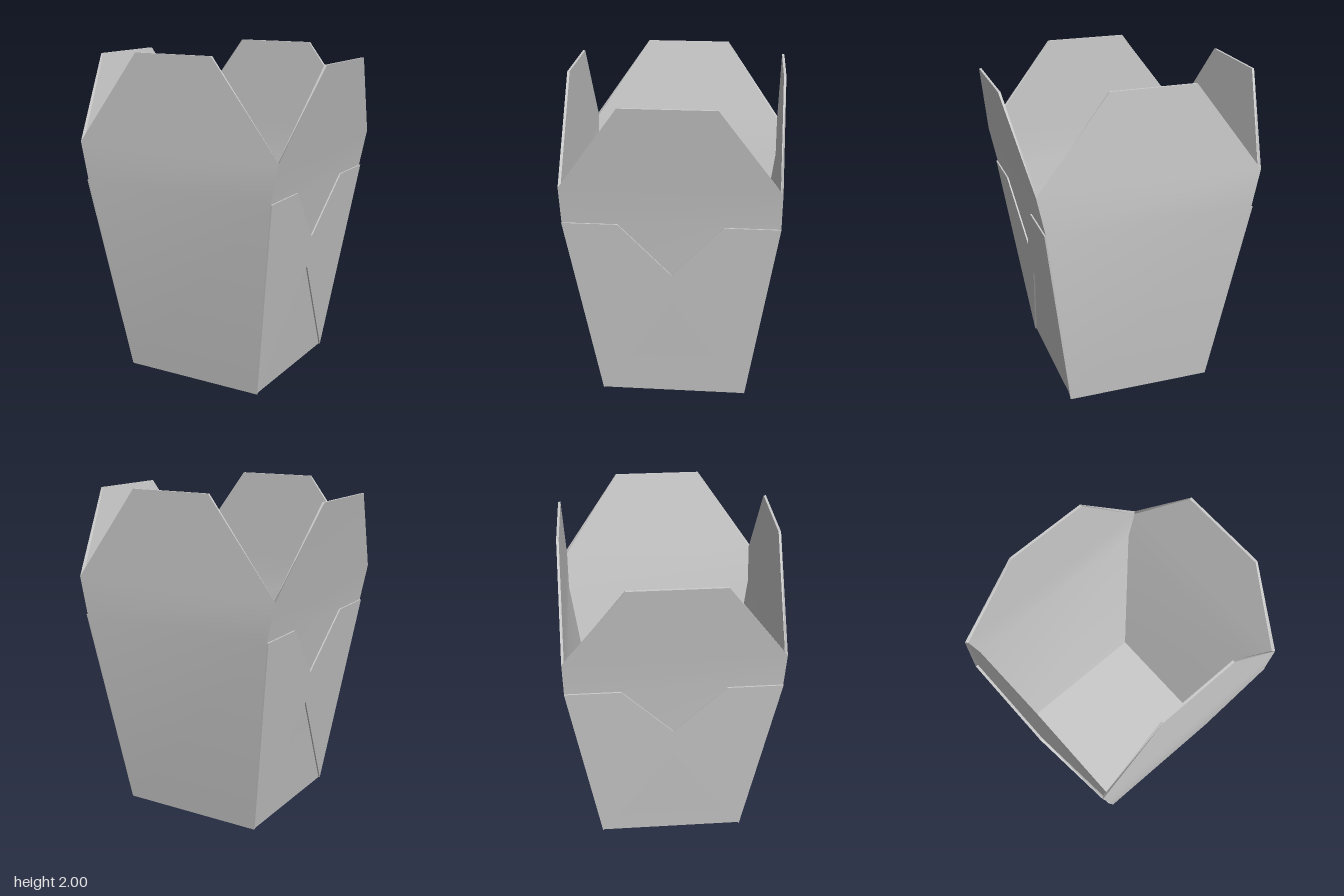
import * as THREE from 'three';
import { toCreasedNormals } from 'three/addons/utils/BufferGeometryUtils.js';

const CARD = 0.014; // card thickness
const FOLD_Y = 1.225; // height of the fold between wall and lid flap
const BASE = 0.445; // half width of the base
const RIM = 0.62; // half width at the fold

// Sheet of card facing +z, from rows of [y, half width, outer z, mitre]
function panelGeometry(rows) {
  const pos = [];
  const index = [];
  rows.forEach(([y, w, z, mitre], i) => {
    const inner = w - mitre;
    pos.push(w, y, z, inner, y, z - CARD, -inner, y, z - CARD, -w, y, z);
    if (i === 0) return;
    for (let k = 0; k < 4; k++) {
      const a = (i - 1) * 4 + k;
      const b = (i - 1) * 4 + ((k + 1) % 4);
      index.push(a, b, b + 4, a, b + 4, a + 4);
    }
  });
  const t = (rows.length - 1) * 4;
  index.push(0, 2, 1, 0, 3, 2, t, t + 1, t + 2, t, t + 2, t + 3);
  const geo = new THREE.BufferGeometry();
  geo.setAttribute('position', new THREE.Float32BufferAttribute(pos, 3));
  geo.setIndex(index);
  return toCreasedNormals(geo, 0.5);
}

// Folded-over layer on the side walls, notched above and below
function overlayGeometry() {
  const shape = new THREE.Shape([
    [-BASE, 0], [0, 0.695], [BASE, 0], [RIM, FOLD_Y], [0.3, FOLD_Y],
    [0, 0.89], [-0.3, FOLD_Y], [-RIM, FOLD_Y],
  ].map(([x, y]) => new THREE.Vector2(x, y)));
  const geo = new THREE.ExtrudeGeometry(shape, { depth: 0.009, bevelEnabled: false });
  // Lean the layer to follow the wall
  const p = geo.attributes.position;
  for (let i = 0; i < p.count; i++) {
    p.setZ(i, p.getZ(i) + BASE + (RIM - BASE) * p.getY(i) / FOLD_Y);
  }
  geo.computeVertexNormals();
  return geo;
}

export function createModel() {
  const group = new THREE.Group();
  const material = new THREE.MeshStandardMaterial({ color: 0xcccccc });
  const add = (name, geo, turn = 0) => {
    const mesh = new THREE.Mesh(geo, material);
    mesh.name = name;
    mesh.rotation.y = turn;
    group.add(mesh);
    return mesh;
  };

  // Front and back walls bend upright above the fold
  const frontGeo = panelGeometry([
    [0, BASE, BASE, CARD],
    [FOLD_Y, RIM, RIM, CARD],
    [1.455, 0.667, RIM, CARD],
    [2, 0.25, RIM, 0],
  ]);
  // Side walls keep leaning outwards above the fold
  const sideGeo = panelGeometry([
    [0, BASE, BASE, CARD],
    [FOLD_Y, RIM, RIM, CARD],
    [1.455, RIM, 0.667, CARD],
    [1.95, 0.265, 0.769, 0],
  ]);
  const overlayGeo = overlayGeometry();

  add('frontWall', frontGeo);
  add('backWall', frontGeo, Math.PI);
  for (const [side, turn] of [['left', Math.PI / 2], ['right', -Math.PI / 2]]) {
    add(`${side}Wall`, sideGeo, turn);
    add(`${side}FoldedLayer`, overlayGeo, turn);
  }

  // Base
  const size = 2 * (BASE - CARD / 2);
  add('base', new THREE.BoxGeometry(size, CARD, size)).position.y = CARD / 2;

  return group;
}
